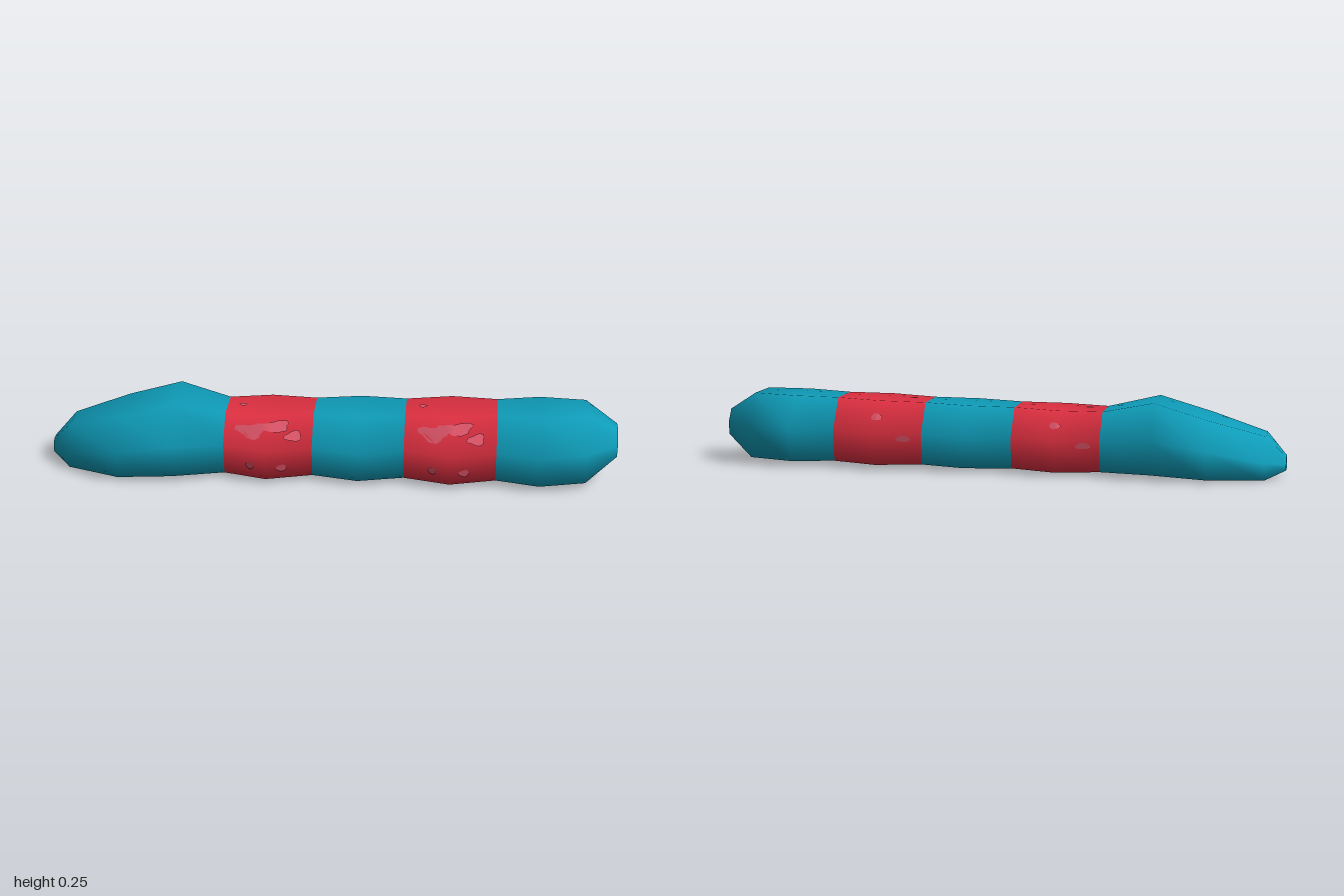
import * as THREE from 'three';

// Cross-sections along the body: x, bottom y, widest y, top y, half width
const SECTIONS = [
  [-1.0, 0.025, 0.045, 0.07, 0.035],
  [-0.93, 0.0, 0.06, 0.145, 0.115],
  [-0.74, 0.01, 0.11, 0.2, 0.215],
  [-0.55, 0.02, 0.14, 0.255, 0.213],
  [-0.37, 0.014, 0.125, 0.215, 0.148],
  [-0.22, 0.014, 0.125, 0.218, 0.195],
  [-0.06, 0.016, 0.125, 0.222, 0.148],
  [0.1, 0.017, 0.127, 0.226, 0.19],
  [0.26, 0.018, 0.128, 0.23, 0.148],
  [0.42, 0.018, 0.13, 0.235, 0.195],
  [0.58, 0.02, 0.13, 0.239, 0.148],
  [0.73, 0.02, 0.132, 0.244, 0.19],
  [0.89, 0.022, 0.133, 0.247, 0.148],
  [1.0, 0.09, 0.135, 0.18, 0.06],
];
const SIDES = 6;

// Six-sided ring, flat on top and underneath
function ring([x, low, mid, high, w]) {
  return [[mid, -w], [high, -w * 0.5], [high, w * 0.5], [mid, w], [low, w * 0.9], [low, -w * 0.9]]
    .map(([y, z]) => new THREE.Vector3(x, y, z));
}
const RINGS = SECTIONS.map(ring);

// Point just above the skin at x, with t counting corners around the ring
function skinPoint(x, t) {
  let i = 0;
  while (i < RINGS.length - 2 && RINGS[i + 1][0].x < x) i++;
  const u = (x - RINGS[i][0].x) / (RINGS[i + 1][0].x - RINGS[i][0].x);
  const k = Math.floor(t), f = t - k;
  const around = (r) => r[k % SIDES].clone().lerp(r[(k + 1) % SIDES], f);
  const p = around(RINGS[i]).lerp(around(RINGS[i + 1]), u);
  const out = new THREE.Vector3(0, p.y - 0.12, p.z).normalize();
  return p.addScaledVector(out, 0.004);
}

// Thin irregular pale spot following the skin
function spot(x, t, rx, rt, wobble) {
  const pos = [], index = [], n = 14, m = 4;
  for (let j = 0; j <= m; j++) {
    for (let i = 0; i <= n; i++) {
      const a = (i / n) * Math.PI * 2;
      const r = (j / m) * (1 + wobble * Math.sin(3 * a + x * 9));
      pos.push(...skinPoint(x + rx * r * Math.cos(a), t + rt * r * Math.sin(a)).toArray());
      if (i < n && j < m) {
        const p = j * (n + 1) + i, q = p + n + 1;
        index.push(p, q, q + 1, p, q + 1, p + 1);
      }
    }
  }
  const g = new THREE.BufferGeometry();
  g.setAttribute('position', new THREE.Float32BufferAttribute(pos, 3));
  g.setIndex(index);
  g.computeVertexNormals();
  return g;
}

export function createModel() {
  const teal = new THREE.MeshStandardMaterial({ color: 0x0f9dba });
  teal.name = 'teal';
  const red = new THREE.MeshStandardMaterial({ color: 0xdf3041 });
  red.name = 'red';
  const pale = new THREE.MeshStandardMaterial({ color: 0xe0566a, side: THREE.DoubleSide });
  pale.name = 'paleRed';

  const group = new THREE.Group();
  group.name = 'segmentedWorm';
  const add = (geometry, material, name) => {
    const mesh = new THREE.Mesh(geometry, material);
    mesh.name = name;
    group.add(mesh);
  };

  // Triangles between two sections, with optional end caps
  const last = RINGS.length - 1;
  const skin = (from, to) => {
    const index = [];
    for (let i = from; i < to; i++) {
      for (let k = 0; k < SIDES; k++) {
        const a = i * SIDES + k, b = i * SIDES + ((k + 1) % SIDES);
        index.push(a, b, b + SIDES, a, b + SIDES, a + SIDES);
      }
    }
    for (let k = 1; k < SIDES - 1; k++) {
      if (from === 0) index.push(0, k + 1, k);
      if (to === last) index.push(last * SIDES, last * SIDES + k, last * SIDES + k + 1);
    }
    return index;
  };

  // One smooth skin, shared by all segments so shading flows across the joins
  const whole = new THREE.BufferGeometry().setFromPoints(RINGS.flat());
  whole.setIndex(skin(0, last));
  whole.computeVertexNormals();

  const segments = [
    ['head', 0, 4, teal], ['frontBand', 4, 6, red], ['middleSegment', 6, 8, teal],
    ['rearBand', 8, 10, red], ['tail', 10, last, teal],
  ];
  for (const [name, from, to, material] of segments) {
    const g = new THREE.BufferGeometry();
    g.setAttribute('position', whole.getAttribute('position'));
    g.setAttribute('normal', whole.getAttribute('normal'));
    g.setIndex(skin(from, to));
    add(g, material, name);
  }

  // Pale spots on both red bands: x offset, place around, radii, raggedness
  const spots = [
    [-0.06, 2.45, 0.05, 0.2, 0.25], [0.02, 2.3, 0.06, 0.15, 0.25], [0.09, 2.6, 0.03, 0.15, 0.2],
    [-0.06, 3.55, 0.015, 0.12, 0.1], [0.05, 3.6, 0.018, 0.12, 0.1],
    [-0.1, 1.5, 0.014, 0.07, 0.1], [0.0, 0.5, 0.02, 0.1, 0.1], [-0.1, 5.85, 0.025, 0.1, 0.1],
  ];
  for (const centre of [-0.215, 0.42]) {
    for (const [dx, t, rx, rt, wobble] of spots) add(spot(centre + dx, t, rx, rt, wobble), pale, 'paleSpot');
  }
  return group;
}
